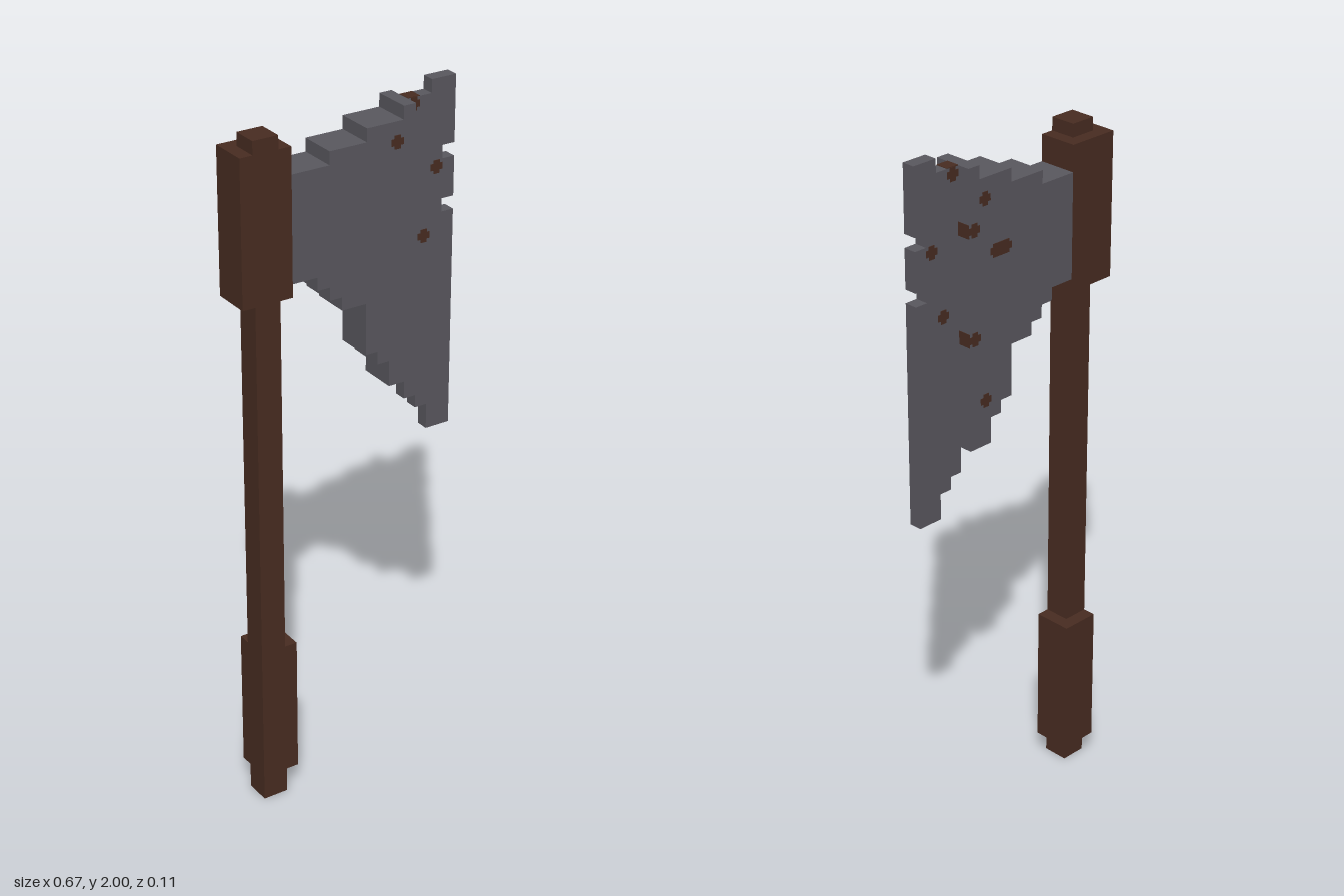
import * as THREE from 'three';

const U = 1 / 27; // size of one block: the axe is 18 x 54 x 3 blocks
const X = (i) => (i - 9) * U;
const Y = (j) => j * U;
const Z = (k) => (k - 1.5) * U;

export function createModel() {
  const axe = new THREE.Group();
  axe.name = 'axe';

  const wood = new THREE.MeshStandardMaterial({ color: 0x482c21 });
  wood.name = 'brown wood and rust';
  const steel = new THREE.MeshStandardMaterial({ color: 0x5a585f });
  steel.name = 'grey steel';

  // Box spanning block coordinates from a to b
  function block(name, material, a, b, parent = axe) {
    const size = b.map((v, n) => (v - a[n]) * U);
    const mesh = new THREE.Mesh(new THREE.BoxGeometry(...size), material);
    mesh.position.set(X((a[0] + b[0]) / 2), Y((a[1] + b[1]) / 2), Z((a[2] + b[2]) / 2));
    mesh.name = name;
    parent.add(mesh);
    return mesh;
  }

  // Stepped outline extruded between two depths
  function plate(name, outline, k0, k1) {
    const shape = new THREE.Shape(outline.map(([i, j]) => new THREE.Vector2(X(i), Y(j))));
    const geometry = new THREE.ExtrudeGeometry(shape, { depth: (k1 - k0) * U, bevelEnabled: false });
    const mesh = new THREE.Mesh(geometry, steel);
    mesh.position.z = Z(k0);
    mesh.name = name;
    axe.add(mesh);
  }

  // Handle, grip and head socket
  block('handleShaft', wood, [1, 13, 1], [3, 41, 3]);
  block('handlePommel', wood, [1, 0, 1], [3, 2, 3]);
  block('handleGrip', wood, [1, 2, 0], [4, 13, 3]);
  block('headSocket', wood, [0, 41, 0], [4, 52, 3]);
  block('handleTip', wood, [1, 52, 1], [3, 53, 3]);

  // Thick body of the blade
  plate('bladeBody', [
    [4, 42], [6, 42], [6, 41], [7, 41], [7, 40], [8, 40], [8, 39], [10, 39], [10, 35],
    [11, 35], [11, 34], [12, 34], [12, 32], [14, 32], [14, 53], [13, 53], [13, 52],
    [10, 52], [10, 51], [7, 51], [7, 50], [4, 50],
  ], 0, 3);

  // Thin cutting edge with two chipped notches
  plate('bladeEdge', [
    [14, 30], [15, 30], [15, 29], [16, 29], [16, 27], [18, 27], [18, 44], [17, 44],
    [17, 45], [18, 45], [18, 48], [17, 48], [17, 49], [18, 49], [18, 54], [16, 54],
    [16, 53], [14, 53],
  ], 1, 2);

  // Rust spots: small crosses lying on the front or back faces
  const rust = new THREE.Group();
  rust.name = 'rustSpots';
  axe.add(rust);
  const T = 0.04; // plate thickness in blocks
  function spot(i, j, k, width = 1) {
    block('rustSpot', wood, [i, j + 0.25, k - T], [i + width, j + 0.75, k + T], rust);
    block('rustSpot', wood, [i + 0.25, j, k - T * 1.2], [i + width - 0.25, j + 1, k + T * 1.2], rust);
  }
  for (const [i, j] of [[14, 52], [16, 47], [15, 42]]) {
    spot(i, j, 1);
    spot(i, j, 2);
  }
  spot(12, 50, 3);
  for (const [i, j] of [[12, 50], [12, 35], [13, 48], [13, 40]]) spot(i, j, 0);
  spot(10, 46, 0, 2);

  // Rust wrapping onto the step of the body and the top of the edge
  for (const j of [48, 40]) block('rustStep', wood, [14 - T, j, 0], [14 + T, j + 1, 1], rust);
  block('rustTop', wood, [14, 53 - T, 1], [15, 53 + T, 2], rust);

  return axe;
}
